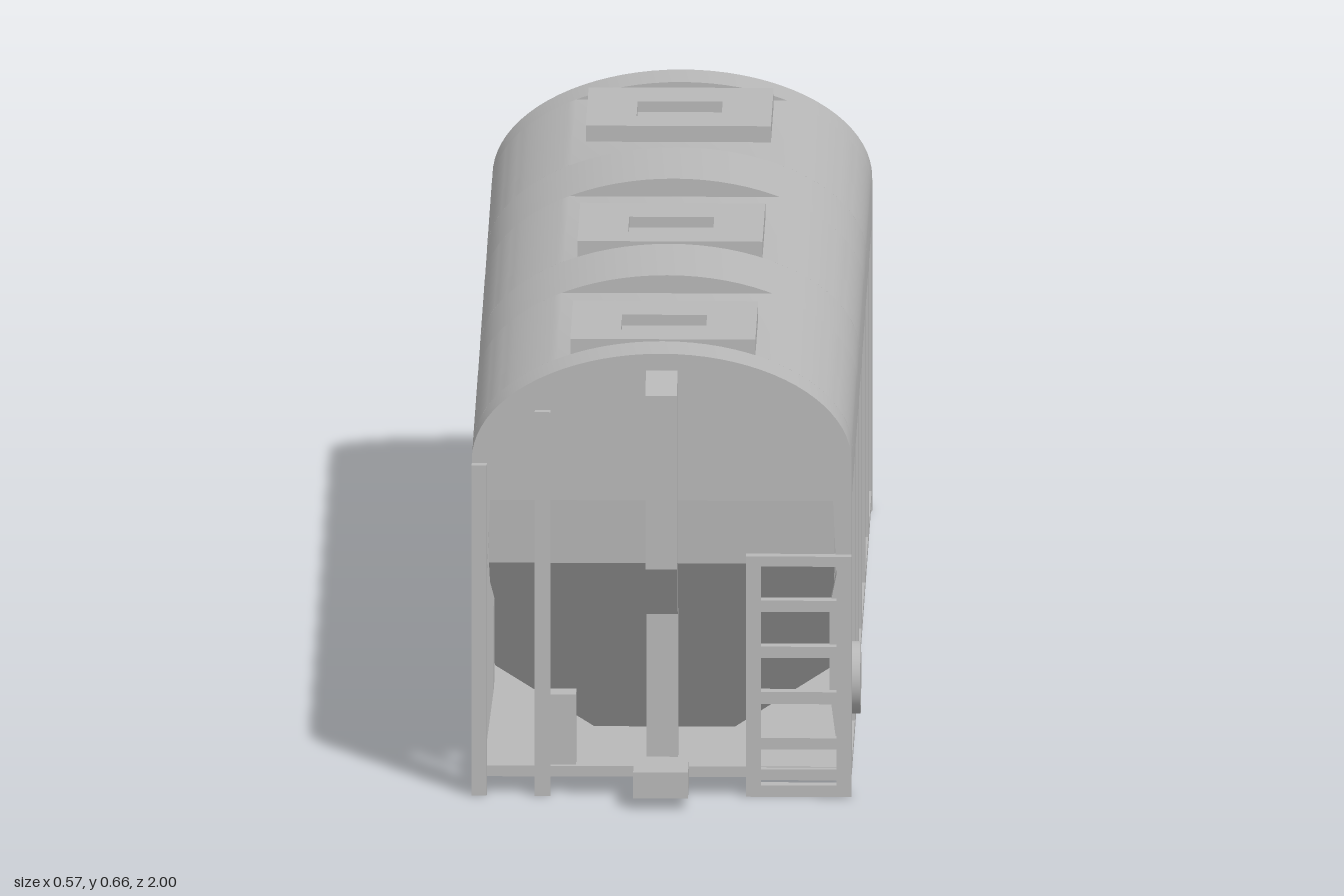
import * as THREE from 'three';
import { toCreasedNormals } from 'three/addons/utils/BufferGeometryUtils.js';

const grey = new THREE.MeshStandardMaterial({ color: 0xb8b8b8 });
grey.name = 'wagon grey';

const HALF_W = 0.277, END_Z = 0.905, EAVE = 0.5, RISE = 0.16, FLOOR = 0.042;

function add(parent, name, geometry) {
  const mesh = new THREE.Mesh(geometry, grey);
  mesh.name = name;
  parent.add(mesh);
  return mesh;
}

// Box given by its limits on each axis
function box(parent, name, x0, x1, y0, y1, z0, z1) {
  const mesh = add(parent, name, new THREE.BoxGeometry(x1 - x0, y1 - y0, z1 - z0));
  mesh.position.set((x0 + x1) / 2, (y0 + y1) / 2, (z0 + z1) / 2);
  return mesh;
}

function shapeOf(points) {
  return new THREE.Shape(points.map(([x, y]) => new THREE.Vector2(x, y)));
}

// Extrude an x-y outline between two z positions
function extrude(shape, z0, z1) {
  const g = new THREE.ExtrudeGeometry(shape, { depth: z1 - z0, bevelEnabled: false });
  return g.translate(0, 0, z0);
}

// Upper shell outline: an elliptical roof, optionally cut off flat at the top
function roofShape(topY) {
  const points = [[-HALF_W, 0.44], [HALF_W, 0.44]];
  const cut = Math.asin(Math.min(1, (topY - EAVE) / RISE));
  const steps = 20;
  const arc = [];
  for (let i = 0; i <= steps; i++) {
    const a = (cut * i) / steps;
    arc.push([HALF_W * Math.cos(a), EAVE + RISE * Math.sin(a)]);
  }
  const left = arc.map(([x, y]) => [-x, y]).reverse();
  if (cut > 1.57) left.shift();
  return shapeOf([...points, ...arc, ...left]);
}

// Hopper: rectangles of [y, half width, half length] joined from bottom to top
function hopperGeometry() {
  const levels = [[0.04, 0.1, 0.65], [0.155, 0.246, 0.745], [0.345, 0.252, 0.9], [0.445, 0.252, END_Z]];
  const rings = levels.map(([y, x, z]) => [[x, y, z], [x, y, -z], [-x, y, -z], [-x, y, z]]);
  const pos = [];
  for (let i = 0; i < rings.length - 1; i++) {
    for (let j = 0; j < 4; j++) {
      const k = (j + 1) % 4;
      const a = rings[i][j], b = rings[i][k], c = rings[i + 1][k], d = rings[i + 1][j];
      pos.push(...a, ...b, ...c, ...a, ...c, ...d);
    }
  }
  const g = new THREE.BufferGeometry();
  g.setAttribute('position', new THREE.Float32BufferAttribute(pos, 3));
  g.computeVertexNormals();
  return g;
}

// Everything fixed to one end of the wagon
function buildEnd() {
  const end = new THREE.Group();
  const barZ0 = 0.898, barZ1 = 0.919;

  // Ladder
  const ladder = new THREE.Group();
  ladder.name = 'endLadder';
  end.add(ladder);
  for (const x of [0.123, 0.255]) box(ladder, 'ladderStile', x, x + 0.022, 0, 0.36, barZ0, barZ1);
  for (const [y0, y1] of [[0.345, 0.36], [0.277, 0.294], [0.208, 0.225], [0.139, 0.157], [0.071, 0.088], [0.025, 0.041], [0, 0.017]]) {
    box(ladder, 'ladderRung', 0.145, 0.255, y0, y1, barZ0, barZ1);
  }

  // Upright poles
  box(end, 'cornerPole', -HALF_W, -0.255, 0, 0.495, barZ0, barZ1);
  box(end, 'tallPole', -0.185, -0.162, 0, 0.575, barZ0, barZ1);
  box(end, 'equipmentBox', -0.18, -0.125, FLOOR, 0.147, 0.86, 0.897);

  // Cranked centre column, drawn in z-y
  const column = extrude(shapeOf([
    [0.9, 0.635], [0.83, 0.26], [0.83, 0.04], [0.872, 0.04], [0.872, 0.262], [0.932, 0.343], [0.932, 0.603], [0.907, 0.635],
  ]), -0.023, 0.023).rotateY(-Math.PI / 2);
  add(end, 'centreColumn', column);

  // Coupler
  box(end, 'coupler', -0.04, 0.04, 0.016, 0.055, 0.9, 1);

  // Brake wheel and its stand
  const wheel = add(end, 'brakeWheel', new THREE.CylinderGeometry(0.053, 0.053, 0.013, 32));
  wheel.rotation.z = Math.PI / 2;
  wheel.position.set(0.281, 0.135, 0.73);
  box(end, 'brakeWheelStand', 0.252, 0.274, FLOOR, 0.135, 0.702, 0.755);
  return end;
}

export function createModel() {
  const model = new THREE.Group();
  model.name = 'hopperWagon';

  // Roof shell: raised arched sections alternating with flat-topped ones
  const full = roofShape(EAVE + RISE), flat = roofShape(0.633);
  const cuts = [-END_Z, -0.825, -0.41, -0.21, 0.205, 0.405, 0.825, END_Z];
  for (let i = 0; i < cuts.length - 1; i++) {
    const raised = i % 2 === 0;
    const g = toCreasedNormals(extrude(raised ? full : flat, cuts[i], cuts[i + 1]), 0.4);
    add(model, raised ? 'archedRoofSection' : 'flatRoofSection', g);
  }

  add(model, 'hopper', hopperGeometry());
  box(model, 'floorPlate', -HALF_W, HALF_W, 0.026, FLOOR, -END_Z, END_Z);

  // Side posts with a bulging inner edge
  const postShape = shapeOf([
    [HALF_W, 0.04], [HALF_W, 0.441], [0.25, 0.441], [0.255, 0.33], [0.245, 0.28], [0.245, 0.155], [0.26, 0.04],
  ]);
  const posts = [-0.585, -0.2925, 0, 0.2925, 0.585].map((z) => [z - 0.025, z + 0.025]);
  posts.push([0.85, END_Z], [-END_Z, -0.85]);
  for (const turn of [0, Math.PI]) {
    for (const [z0, z1] of posts) {
      add(model, 'sidePost', extrude(postShape, z0, z1)).rotation.y = turn;
    }
  }

  // Roof hatches: a frame with a sunken opening
  for (const z of [-0.68, 0.055, 0.678]) {
    const hatch = new THREE.Group();
    hatch.name = 'roofHatch';
    const frame = shapeOf([[-0.135, -0.122], [0.135, -0.122], [0.135, 0.122], [-0.135, 0.122]]);
    frame.holes.push(new THREE.Path([[-0.062, -0.06], [-0.062, 0.034], [0.062, 0.034], [0.062, -0.06]]
      .map(([x, y]) => new THREE.Vector2(x, y))));
    add(hatch, 'hatchFrame', extrude(frame, 0, 0.024).rotateX(-Math.PI / 2));
    box(hatch, 'hatchFloor', -0.064, 0.064, 0.001, 0.008, -0.036, 0.062);
    hatch.position.set(0, 0.633, z);
    model.add(hatch);
  }

  // Both ends, the rear one turned half way round
  const front = buildEnd(), rear = buildEnd();
  front.name = 'frontEnd';
  rear.name = 'rearEnd';
  rear.rotation.y = Math.PI;
  model.add(front, rear);
  return model;
}
